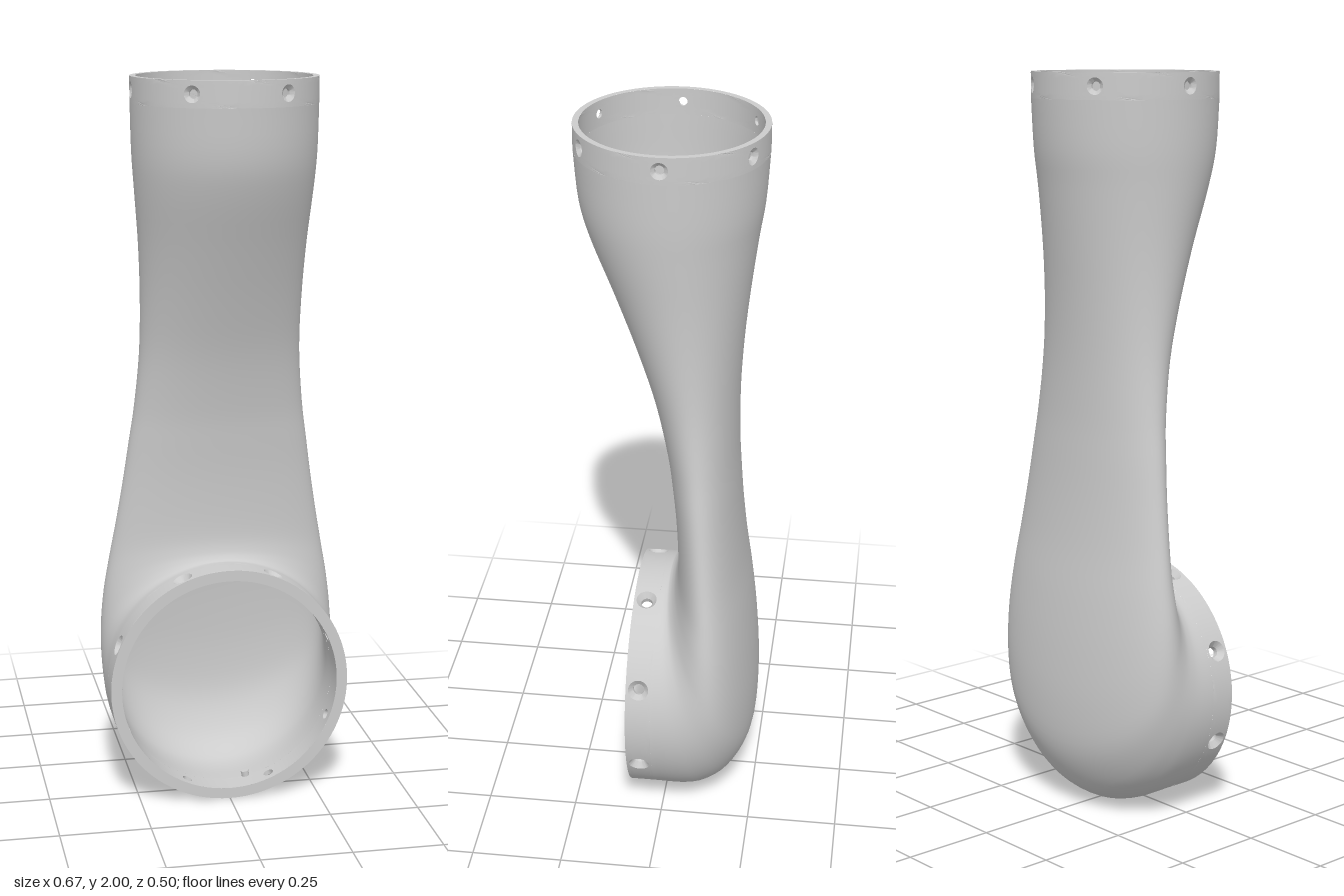
import * as THREE from 'three';
import { mergeGeometries, toCreasedNormals } from 'three/addons/utils/BufferGeometryUtils.js';

const material = new THREE.MeshStandardMaterial({ color: 0xcccccc });
const AROUND = 72;

// Duct sections: front y, z, back y, z, half width, wall thickness
const SECTIONS = [
  [1.93, 0.25, 1.93, -0.25, 0.25, 0.016],
  [1.8, 0.238, 1.8, -0.241, 0.247, 0.015],
  [1.7, 0.21, 1.7, -0.226, 0.24, 0.015],
  [1.55, 0.15, 1.55, -0.207, 0.228, 0.015],
  [1.4, 0.093, 1.4, -0.192, 0.222, 0.015],
  [1.25, 0.043, 1.25, -0.184, 0.223, 0.015],
  [1.1, 0.008, 1.1, -0.184, 0.236, 0.015],
  [1.0, -0.007, 0.99, -0.189, 0.251, 0.015],
  [0.9, -0.018, 0.87, -0.197, 0.267, 0.015],
  [0.8, -0.024, 0.74, -0.21, 0.286, 0.015],
  [0.73, -0.024, 0.6, -0.229, 0.305, 0.016],
  [0.692, -0.017, 0.45, -0.244, 0.321, 0.018],
  [0.675, -0.008, 0.3, -0.25, 0.33, 0.02],
  [0.668, 0, 0.17, -0.238, 0.333, 0.022],
  [0.667, 0.004, 0.07, -0.19, 0.333, 0.025],
  [0.667, 0.008, 0.018, -0.13, 0.333, 0.028],
  [0.667, 0.012, 0, -0.07, 0.333, 0.03],
  [0.667, 0.02, 0, 0.02, 0.3335, 0.03],
];

// Surface through rows of points, each row a closed loop
function skin(rows, flip) {
  const n = rows[0].length;
  const index = [];
  for (let j = 0; j < rows.length - 1; j++) {
    for (let i = 0; i < n; i++) {
      const a = j * n + i, c = j * n + ((i + 1) % n), b = a + n, d = c + n;
      if (flip) index.push(a, d, b, a, c, d);
      else index.push(a, b, d, a, d, c);
    }
  }
  const geometry = new THREE.BufferGeometry().setFromPoints(rows.flat());
  geometry.setIndex(index);
  geometry.computeVertexNormals();
  return geometry;
}

// Elliptical loft along the sections, optionally moved in by the wall thickness
function duct(inner) {
  const front = [], back = [];
  for (const [fy, fz, by, bz, w, t] of SECTIONS) {
    const f = new THREE.Vector3(0, fy, fz), b = new THREE.Vector3(0, by, bz);
    const inward = b.clone().sub(f).setLength(inner ? t : 0);
    f.add(inward);
    b.sub(inward);
    f.x = inner ? w - t : w; // x carries the half width
    front.push(f);
    back.push(b);
  }
  const frontCurve = new THREE.CatmullRomCurve3(front, false, 'catmullrom');
  const backCurve = new THREE.CatmullRomCurve3(back, false, 'catmullrom');
  const steps = (SECTIONS.length - 1) * 4;
  const rows = [];
  for (let j = 0; j <= steps; j++) {
    const f = frontCurve.getPoint(j / steps), b = backCurve.getPoint(j / steps);
    rows.push(Array.from({ length: AROUND }, (_, i) => {
      const a = (i / AROUND) * Math.PI * 2, k = (1 + Math.cos(a)) / 2;
      return new THREE.Vector3(f.x * Math.sin(a), b.y + (f.y - b.y) * k, b.z + (f.z - b.z) * k);
    }));
  }
  return skin(rows, inner);
}

// Ring wall along +y pierced by evenly spaced countersunk holes
function collar(name, radius, wall, height, holes, holeRadius) {
  const n = 48, levels = 8, step = (Math.PI * 2) / holes;
  const cells = [];
  for (let h = 0; h < holes; h++) {
    const row = (r, hole, k) => Array.from({ length: n }, (_, i) => {
      const a = (i / n) * Math.PI * 2, c = Math.cos(a), s = Math.sin(a);
      const m = Math.max(Math.abs(c), Math.abs(s));
      const x = THREE.MathUtils.lerp((hole * c) / radius, (c / m) * step / 2, k);
      const y = THREE.MathUtils.lerp(hole * s, (s / m) * height / 2, k);
      const theta = (h + 0.5) * step + x;
      return new THREE.Vector3(r * Math.sin(theta), height / 2 + y, r * Math.cos(theta));
    });
    const rows = [];
    for (let j = levels; j >= 0; j--) rows.push(row(radius - wall, holeRadius * 0.55, j / levels));
    rows.push(row(radius - wall * 0.55, holeRadius * 0.55, 0));
    for (let j = 0; j <= levels; j++) rows.push(row(radius, holeRadius, j / levels));
    cells.push(skin(rows, false));
  }
  const group = new THREE.Group();
  group.name = name;
  const wallMesh = new THREE.Mesh(toCreasedNormals(mergeGeometries(cells), 0.5), material);
  wallMesh.name = name + 'Wall';
  const rim = new THREE.Mesh(new THREE.RingGeometry(radius - wall, radius, 96), material);
  rim.name = name + 'Rim';
  rim.rotation.x = -Math.PI / 2;
  rim.position.y = height;
  group.add(wallMesh, rim);
  return group;
}

// Small locating pin on the inside of a collar
function pin(radius, angle, y) {
  const mesh = new THREE.Mesh(new THREE.CylinderGeometry(0.011, 0.011, 0.024, 16), material);
  mesh.name = 'locatingPin';
  mesh.position.set(radius * Math.sin(angle), y, radius * Math.cos(angle));
  mesh.rotation.set(Math.PI / 2, 0, -angle, 'YXZ');
  mesh.rotation.set(Math.PI / 2, angle, 0, 'YXZ');
  return mesh;
}

export function createModel() {
  const model = new THREE.Group();
  model.name = 'ductElbow';

  // Flattened, bent body
  const outer = new THREE.Mesh(duct(false), material);
  outer.name = 'ductOuterWall';
  const inner = new THREE.Mesh(duct(true), material);
  inner.name = 'ductInnerWall';

  // Round upper opening
  const top = collar('topCollar', 0.25, 0.016, 0.07, 6, 0.022);
  top.position.y = 1.93;
  top.add(pin(0.23, Math.PI / 6, -0.02));

  // Larger opening facing forward
  const bottom = collar('frontCollar', 0.3335, 0.03, 0.07, 8, 0.028);
  bottom.position.set(0, 0.3335, 0.02);
  bottom.rotation.x = Math.PI / 2;
  bottom.add(pin(0.3, 0.19, 0));

  model.add(outer, inner, top, bottom);
  return model;
}
